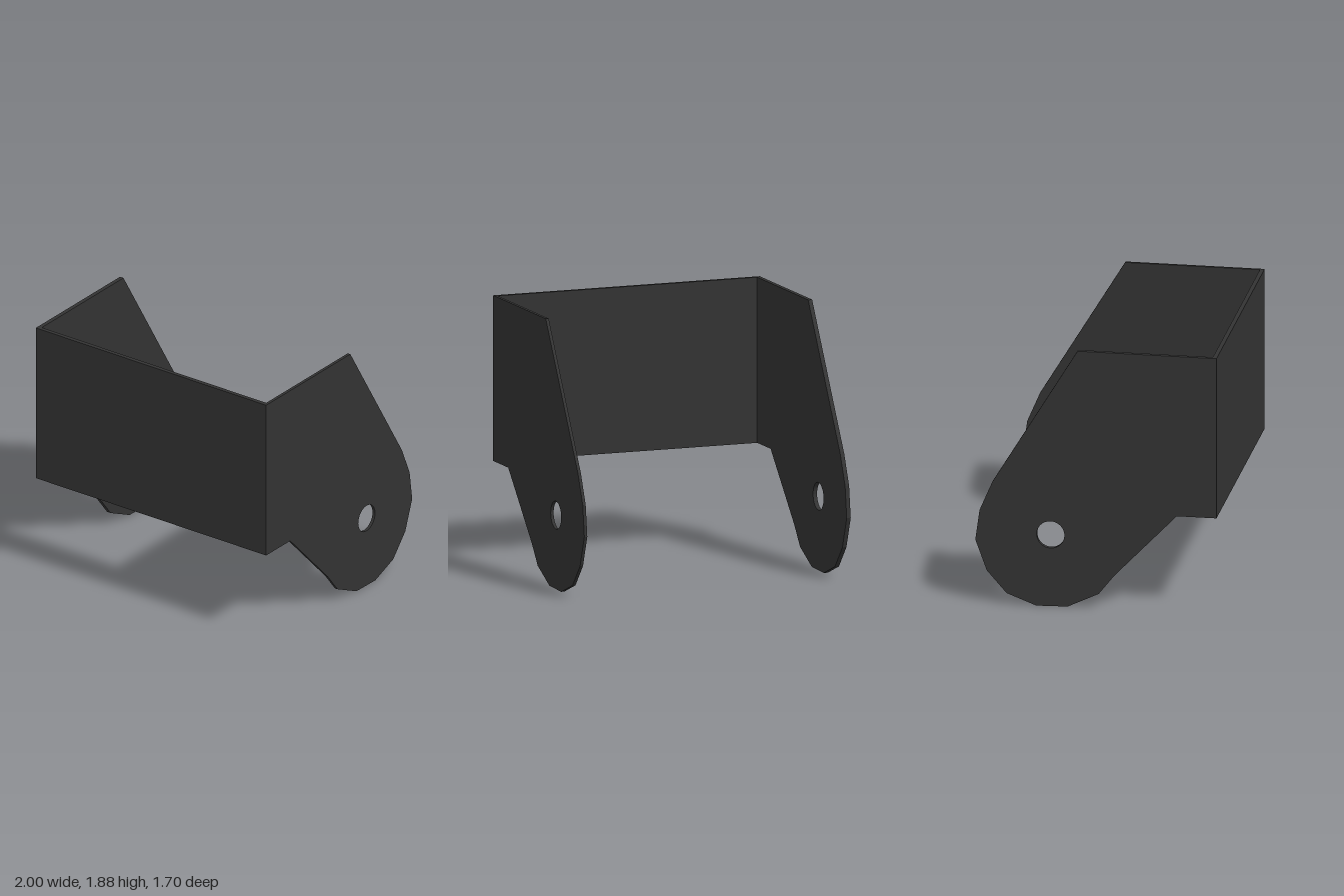
import * as THREE from 'three';

// Side outline as (z, y) points
const OUTLINE = [
  [0.85, 1.88], [-0.13, 1.88], [-0.73, 0.89], [-0.82, 0.68], [-0.85, 0.46],
  [-0.77, 0.24], [-0.63, 0.08], [-0.42, 0], [-0.2, 0.005], [0.02, 0.11],
  [0.13, 0.25], [0.57, 0.71], [0.85, 0.71],
];

export function createModel() {
  const group = new THREE.Group();
  group.name = 'bracket';
  const metal = new THREE.MeshStandardMaterial({ color: 0x333333, flatShading: true });

  // Side arm with a round pivot hole, its outer face at outerX
  function addArm(name, outerX, thickness) {
    const shape = new THREE.Shape(OUTLINE.map(([z, y]) => new THREE.Vector2(z, y)));
    const hole = new THREE.Path();
    hole.absarc(-0.32, 0.525, 0.098, 0, Math.PI * 2, true);
    shape.holes.push(hole);
    const geometry = new THREE.ExtrudeGeometry(shape, {
      depth: thickness, bevelEnabled: false, curveSegments: 16,
    });
    geometry.rotateY(-Math.PI / 2); // outline now lies in z-y, thickness runs toward -x
    const arm = new THREE.Mesh(geometry, metal);
    arm.name = name;
    arm.position.x = outerX > 0 ? outerX : outerX + thickness;
    group.add(arm);
  }
  addArm('leftArm', 0.995, 0.022);
  addArm('rightArm', -1, 0.03);

  // Front plate joining the two arms
  const plate = new THREE.Mesh(new THREE.BoxGeometry(1.943, 1.17, 0.03), metal);
  plate.name = 'frontPlate';
  plate.position.set(0.0015, 1.295, 0.835);
  group.add(plate);

  return group;
}
